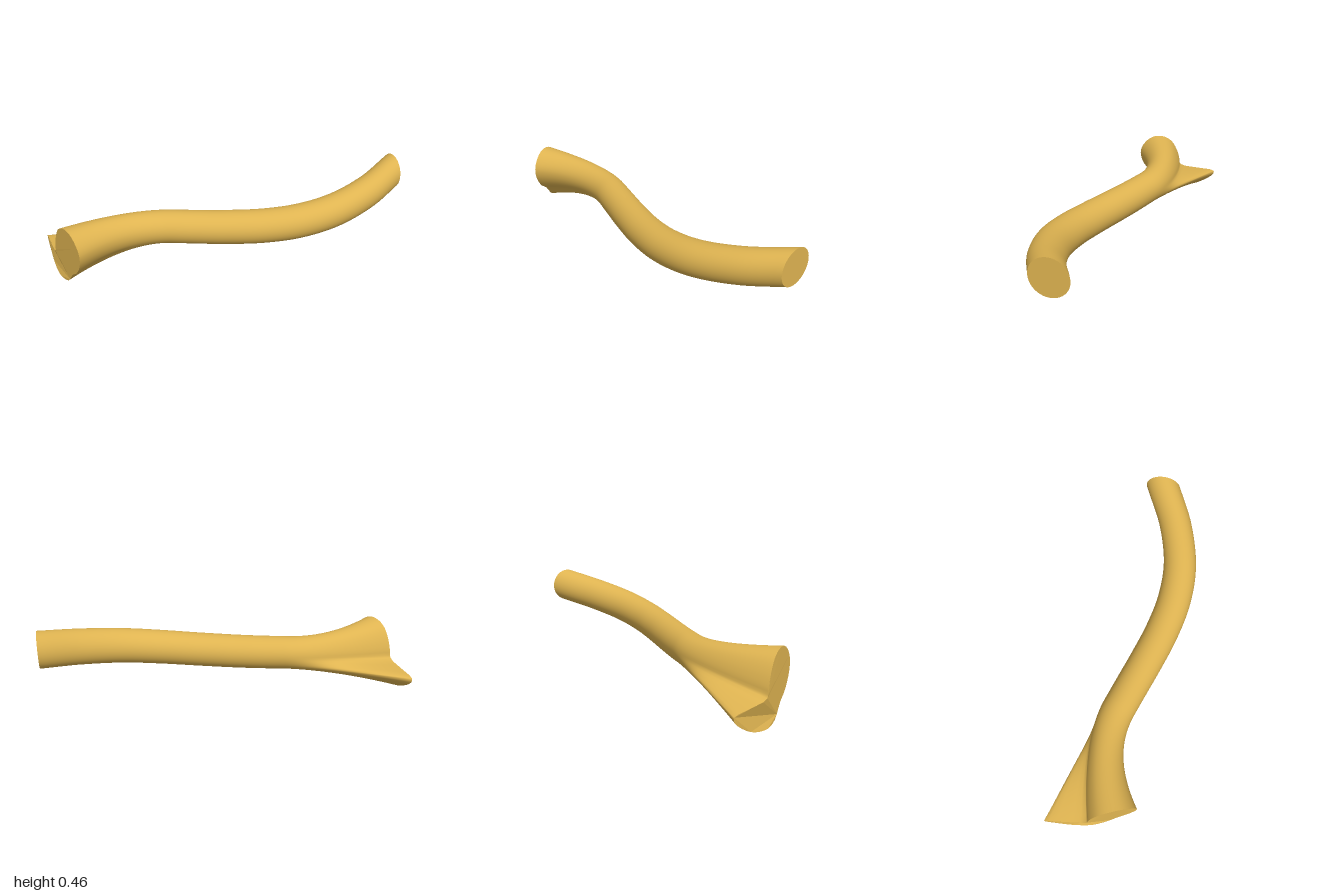
import * as THREE from 'three';

const N = 60; // points around each ring

// Centre line of the round bar, from its cut end to the start of the flare
const path = new THREE.CatmullRomCurve3([
  [0.97, 0.367, -0.322], [0.8, 0.318, -0.152], [0.6, 0.275, -0.02], [0.4, 0.245, 0.046],
  [0.2, 0.228, 0.07], [0, 0.222, 0.073], [-0.15, 0.222, 0.071], [-0.3, 0.225, 0.07],
].map((p) => new THREE.Vector3(...p)));

// Rim of the flared end as [z, y]: tall front lobe, low rear tongue, inner corner
const rim = new THREE.CatmullRomCurve3([
  [0.33, 0.355], [0.36, 0.343], [0.385, 0.317], [0.404, 0.28], [0.41, 0.24],
  [0.4, 0.185], [0.37, 0.125], [0.33, 0.085], [0.285, 0.016], [0.22, 0.001],
  [0.13, 0.015], [0.06, 0.05], [0.004, 0.098], [0.002, 0.122], [0.1, 0.135],
  [0.205, 0.153], [0.213, 0.2], [0.228, 0.26], [0.255, 0.318], [0.29, 0.348],
].map(([z, y]) => new THREE.Vector3(Math.max(-1 + 0.45 * z, -0.91 + (z - 0.2) * 0.857), y, z)), true);

// Upright ring on the path, turned part of the way into the bend
function barRing(t) {
  const c = path.getPoint(t);
  const d = path.getTangent(t);
  const heading = 0.42 * Math.atan2(-d.z, -d.x) ;
  const turn = Math.atan2(d.z, -d.x) * 0.42;
  const r = 0.098 - 0.007 * t;
  return Array.from({ length: N }, (_, j) => {
    const a = (j / N) * Math.PI * 2;
    const side = r * Math.sin(a);
    return new THREE.Vector3(c.x + side * Math.sin(turn), c.y + r * Math.cos(a), c.z + side * Math.cos(turn));
  });
}

function makeGeometry(points, index) {
  const g = new THREE.BufferGeometry().setFromPoints(points);
  g.setIndex(index);
  return g;
}

export function createModel() {
  const group = new THREE.Group();
  const ochre = new THREE.MeshStandardMaterial({ color: 0xdfb451 });
  ochre.name = 'ochre';

  // Rings of the bar
  const rings = [];
  for (let i = 0; i <= 48; i++) rings.push(barRing(i / 48));

  // Rings of the flare: each point curves from the bar out to the rim
  const start = rings[rings.length - 1];
  const end = start.map((_, j) => rim.getPoint(j / N));
  for (let i = 1; i <= 20; i++) {
    const t = i / 20;
    rings.push(start.map((p, j) => {
      const ctrl = new THREE.Vector3(p.x - 0.24, p.y, p.z);
      return new THREE.QuadraticBezierCurve3(p, ctrl, end[j]).getPoint(t);
    }));
  }

  // Skin joining all rings
  const skin = [];
  for (let i = 0; i < rings.length - 1; i++) {
    for (let j = 0; j < N; j++) {
      const a = i * N + j;
      const b = i * N + ((j + 1) % N);
      skin.push(a, a + N, b, b, a + N, b + N);
    }
  }
  const body = makeGeometry(rings.flat(), skin);
  body.computeVertexNormals();

  // Round cut end
  const fan = [];
  for (let j = 0; j < N; j++) fan.push(N, j, (j + 1) % N);
  const roundCap = makeGeometry([...rings[0], path.getPoint(0)], fan);
  roundCap.computeVertexNormals();

  // Folded cut end of the flare
  const loop = end.slice().reverse();
  const faces = THREE.ShapeUtils.triangulateShape(loop.map((p) => new THREE.Vector2(p.z, p.y)), []);
  const flareCap = makeGeometry(loop, faces.flat()).toNonIndexed();
  flareCap.computeVertexNormals();

  for (const [name, geometry] of [['curvedBar', body], ['roundEnd', roundCap], ['flaredEnd', flareCap]]) {
    const mesh = new THREE.Mesh(geometry, ochre);
    mesh.name = name;
    group.add(mesh);
  }
  return group;
}
